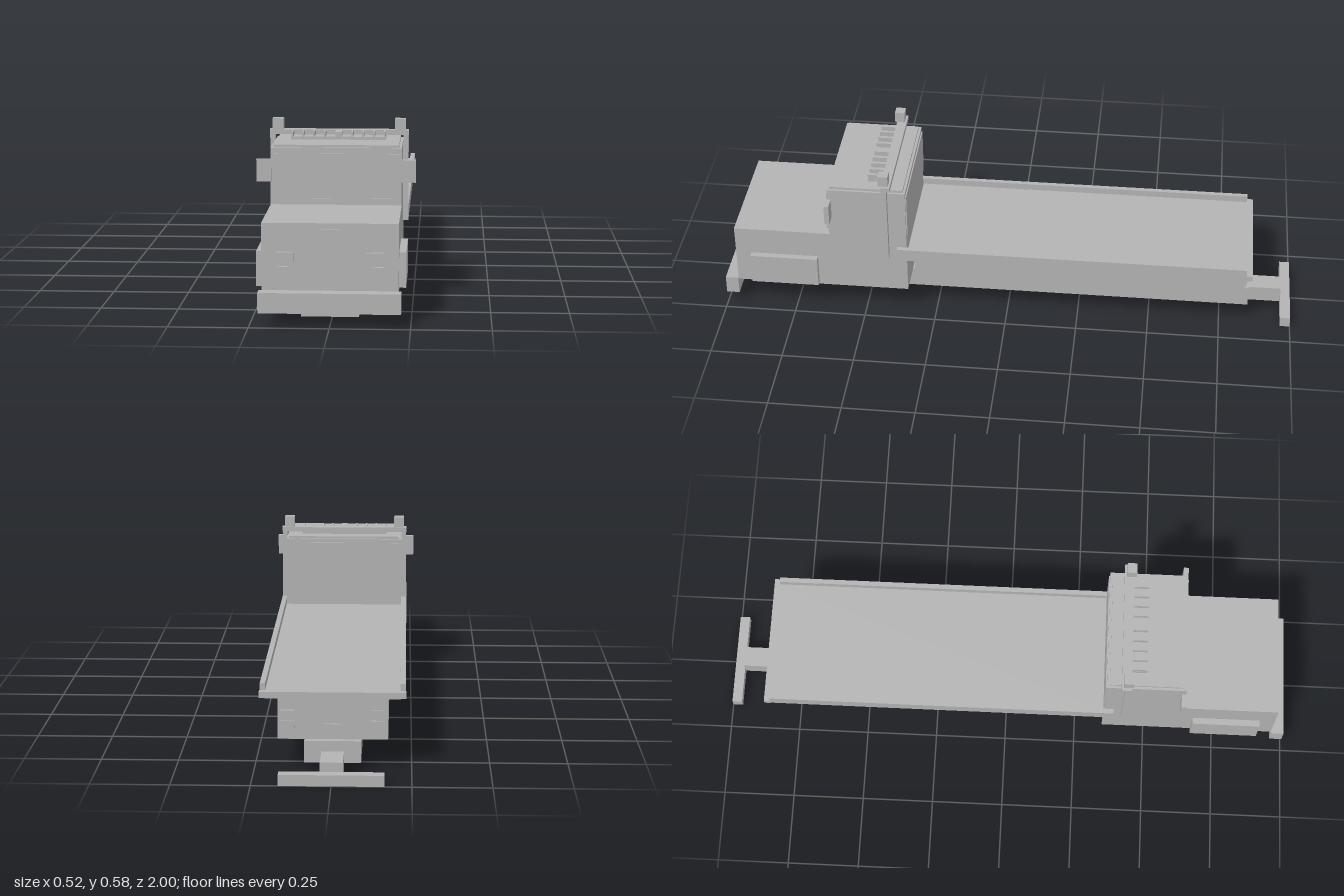
import * as THREE from 'three';

export function createModel() {
  const truck = new THREE.Group();
  truck.name = 'flatbedTruck';
  const grey = new THREE.MeshStandardMaterial({ color: 0xb3b3b3 });
  grey.name = 'plain grey';

  // Box given by its extents on each axis
  const box = (name, [x0, x1], [y0, y1], [z0, z1]) => {
    const mesh = new THREE.Mesh(new THREE.BoxGeometry(x1 - x0, y1 - y0, z1 - z0), grey);
    mesh.position.set((x0 + x1) / 2, (y0 + y1) / 2, (z0 + z1) / 2);
    mesh.name = name;
    truck.add(mesh);
  };
  const wide = (name, half, y, z) => box(name, [-half, half], y, z);
  const pair = (name, [x0, x1], y, z) => {
    box(name + 'Left', [x0, x1], y, z);
    box(name + 'Right', [-x1, -x0], y, z);
  };

  // Frame, bumper and tow bar
  wide('chassis', 0.09, [0.03, 0.102], [-0.85, 0.956]);
  wide('frontBumper', 0.221, [0.048, 0.112], [0.955, 1]);
  wide('towArm', 0.036, [0.012, 0.068], [-0.966, -0.83]);
  wide('towCrossbar', 0.165, [0.002, 0.038], [-1, -0.965]);

  // Hood and cab
  wide('lowerCab', 0.212, [0.102, 0.323], [0.347, 0.955]);
  wide('upperCab', 0.212, [0.323, 0.509], [0.347, 0.617]);
  wide('roofPanel', 0.203, [0.508, 0.517], [0.356, 0.609]);
  wide('windscreen', 0.205, [0.331, 0.49], [0.616, 0.621]);
  wide('rearWindow', 0.205, [0.331, 0.495], [0.343, 0.348]);
  wide('grille', 0.13, [0.13, 0.305], [0.954, 0.958]);
  pair('headlight', [0.112, 0.165], [0.195, 0.233], [0.955, 0.968]);
  pair('turnSignal', [0.13, 0.165], [0.166, 0.188], [0.955, 0.966]);
  pair('sideTank', [0.212, 0.234], [0.112, 0.223], [0.663, 0.9]);
  pair('mirror', [0.21, 0.258], [0.398, 0.471], [0.605, 0.622]);

  // Wipers with their pivots
  for (const x of [-0.012, 0.191]) {
    box('wiperArm', [x - 0.141, x], [0.341, 0.345], [0.62, 0.625]);
    box('wiperPivot', [x - 0.006, x + 0.006], [0.337, 0.348], [0.62, 0.628]);
  }

  // Stacks, roof bar and ribbed light rack
  pair('stack', [0.212, 0.23], [0.24, 0.53], [0.408, 0.427]);
  wide('roofBar', 0.231, [0.527, 0.543], [0.396, 0.43]);
  pair('roofLamp', [0.185, 0.221], [0.543, 0.581], [0.403, 0.437]);
  wide('rackBase', 0.156, [0.516, 0.527], [0.405, 0.482]);
  for (const x of [0.045, 0.081, 0.117, 0.152])
    pair('rackRib', [x - 0.003, x + 0.003], [0.526, 0.543], [0.43, 0.482]);
  wide('rackCentreRib', 0.011, [0.526, 0.543], [0.43, 0.482]);

  // Flatbed with side rails
  wide('bedBody', 0.175, [0.102, 0.242], [-0.83, 0.326]);
  wide('deck', 0.214, [0.24, 0.262], [-0.85, 0.346]);
  wide('rearLip', 0.232, [0.242, 0.262], [-0.853, -0.83]);
  pair('rail', [0.213, 0.23], [0.24, 0.285], [-0.832, 0.38]);

  // Tail lights and rear plate
  pair('tailLightUpper', [0.122, 0.165], [0.17, 0.198], [-0.838, -0.829]);
  pair('tailLightLower', [0.122, 0.165], [0.138, 0.164], [-0.838, -0.829]);
  wide('rearPlate', 0.028, [0.135, 0.153], [-0.836, -0.829]);

  return truck;
}
